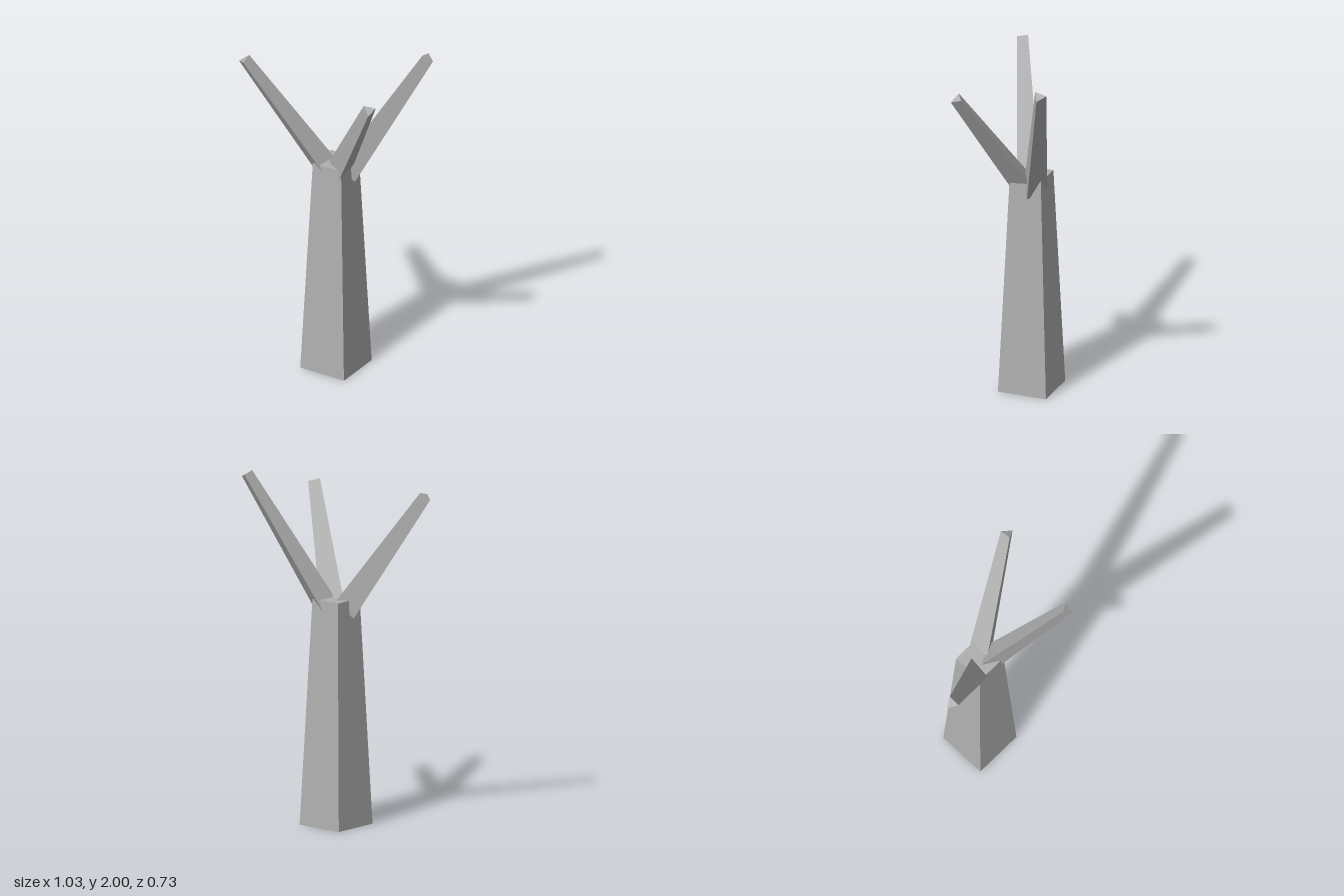
import * as THREE from 'three';

const bark = new THREE.MeshStandardMaterial({ color: 0xb0b0b0, flatShading: true, side: THREE.DoubleSide });
bark.name = 'grey bark';

// Tapered low-poly limb, capped at the top and open at the bottom
function limb(name, topRadius, baseRadius, length, sides) {
  const geometry = new THREE.CylinderGeometry(topRadius, baseRadius, length, sides);
  const bottomCap = geometry.groups[2].start;
  geometry.setIndex(Array.from(geometry.index.array.slice(0, bottomCap)));
  geometry.clearGroups();
  const mesh = new THREE.Mesh(geometry, bark);
  mesh.name = name;
  return mesh;
}

// Three-sided branch from base to tip; ridge is the side one of its edges points to
function branch(name, base, tip, ridge) {
  const a = new THREE.Vector3(...base);
  const b = new THREE.Vector3(...tip);
  const axis = b.clone().sub(a);
  const mesh = limb(name, 0.04, 0.08, axis.length(), 3);
  axis.normalize();
  const z = new THREE.Vector3(...ridge).projectOnPlane(axis).normalize();
  const x = axis.clone().cross(z);
  mesh.quaternion.setFromRotationMatrix(new THREE.Matrix4().makeBasis(x, axis, z));
  mesh.position.copy(a).lerp(b, 0.5);
  return mesh;
}

export function createModel() {
  const tree = new THREE.Group();
  tree.name = 'bareTree';

  // Four-sided trunk, set back from the middle
  const trunk = limb('trunk', 0.133, 0.205, 1.295, 4);
  trunk.position.set(0, 1.295 / 2, -0.16);
  tree.add(trunk);

  // Three forking branches
  tree.add(
    branch('leftBranch', [0.05, 1.223, -0.147], [0.493, 1.985, 0.002], [-0.05, 0.047, 0.022]),
    branch('rightBranch', [-0.051, 1.236, -0.18], [-0.493, 1.913, -0.323], [0.061, 0.049, -0.025]),
    branch('frontBranch', [0.009, 1.243, -0.118], [0.082, 1.865, 0.33], [-0.049, 0.047, -0.037]),
  );
  return tree;
}
